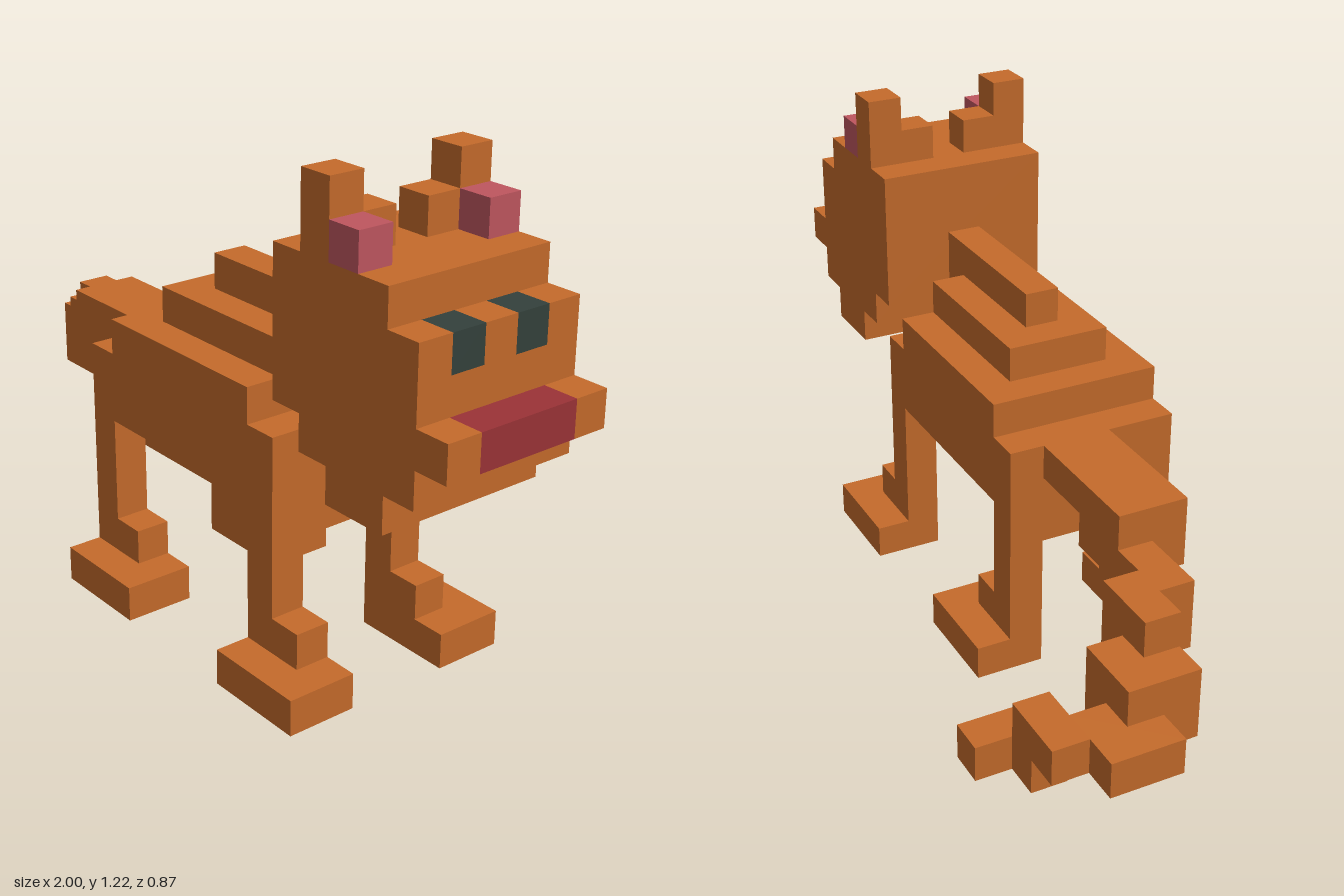
import * as THREE from 'three';

export function createModel() {
  const model = new THREE.Group();
  model.name = 'blockCat';
  const u = 2 / 23; // edge of one block
  const mat = (name, color) => {
    const m = new THREE.MeshStandardMaterial({ color });
    m.name = name;
    return m;
  };
  const fur = mat('orangeFur', 0xc56b2b);
  const pink = mat('earPink', 0xbf565f);
  const dark = mat('eyeDark', 0x34413c);
  const red = mat('mouthRed', 0x9b3337);

  const group = (name) => {
    const g = new THREE.Group();
    g.name = name;
    model.add(g);
    return g;
  };
  // Box between block-grid corners: x 0..23, y 0..14, z 0..10
  const box = (parent, name, material, [x0, x1], [y0, y1], [z0, z1]) => {
    const mesh = new THREE.Mesh(
      new THREE.BoxGeometry((x1 - x0) * u, (y1 - y0) * u, (z1 - z0) * u), material);
    mesh.position.set(((x0 + x1) / 2 - 11.5) * u, (y0 + y1) / 2 * u, ((z0 + z1) / 2 - 5) * u);
    mesh.name = name;
    parent.add(mesh);
  };

  // Torso, stepped back and neck ridge
  const body = group('body');
  box(body, 'belly', fur, [9, 17], [4, 5], [5, 8]);
  box(body, 'torso', fur, [9, 17], [5, 7], [4, 9]);
  box(body, 'back', fur, [10, 16], [7, 8], [4, 9]);
  box(body, 'upperBack', fur, [11, 16], [8, 9], [5, 8]);
  box(body, 'spineAndNeck', fur, [12, 17], [8, 10], [6, 7]);

  // Four legs, feet turned outwards
  const legs = group('legs');
  for (const [end, x] of [['back', 9], ['front', 16]]) {
    for (const [z, foot] of [[4, [3, 5]], [8, [8, 10]]]) {
      box(legs, end + 'Leg', fur, [x, x + 1], [1, 5], [z, z + 1]);
      box(legs, end + 'Ankle', fur, [x + 1, x + 2], [1, 2], [z, z + 1]);
      box(legs, end + 'Foot', fur, [x, x + 3], [0, 1], foot);
    }
  }

  // Head built from upright slices
  const head = group('head');
  const slices = [[17, 18, 8, 12], [18, 19, 7, 12], [19, 21, 6, 12], [21, 22, 7, 10]];
  for (const [x0, x1, y0, y1] of slices) {
    box(head, 'headSlice', fur, [x0, x1], [y0, y1], [4, 9]);
  }
  // Brow blocks between the eyes, and muzzle with mouth
  for (const z of [4, 6, 8]) box(head, 'brow', fur, [21, 22], [10, 11], [z, z + 1]);
  for (const z of [5, 7]) box(head, 'eye', dark, [21, 22], [10, 11], [z, z + 1]);
  for (const z of [4, 8]) box(head, 'muzzle', fur, [22, 23], [8, 9], [z, z + 1]);
  box(head, 'mouth', red, [22, 23], [8, 9], [5, 8]);

  // Ears
  for (const [outer, inner] of [[4, 5], [8, 7]]) {
    box(head, 'ear', fur, [18, 19], [12, 14], [outer, outer + 1]);
    box(head, 'earBase', fur, [18, 19], [12, 13], [inner, inner + 1]);
    box(head, 'innerEar', pink, [19, 20], [12, 13], [outer, outer + 1]);
  }

  // Tail curling round behind
  const tail = group('tail');
  const tailParts = [
    [[5, 9], [6, 7], [5, 7]],
    [[5, 7], [5, 6], [5, 7]],
    [[3, 5], [4, 6], [5, 6]],
    [[2, 4], [4, 6], [4, 5]],
    [[1, 3], [3, 5], [4, 5]],
    [[1, 3], [3, 5], [3, 4]],
    [[0, 2], [3, 4], [2, 4]],
    [[1, 3], [3, 4], [1, 2]],
    [[2, 4], [2, 3], [1, 2]],
    [[3, 4], [2, 3], [0, 1]],
  ];
  for (const [x, y, z] of tailParts) box(tail, 'tailBlock', fur, x, y, z);

  return model;
}
